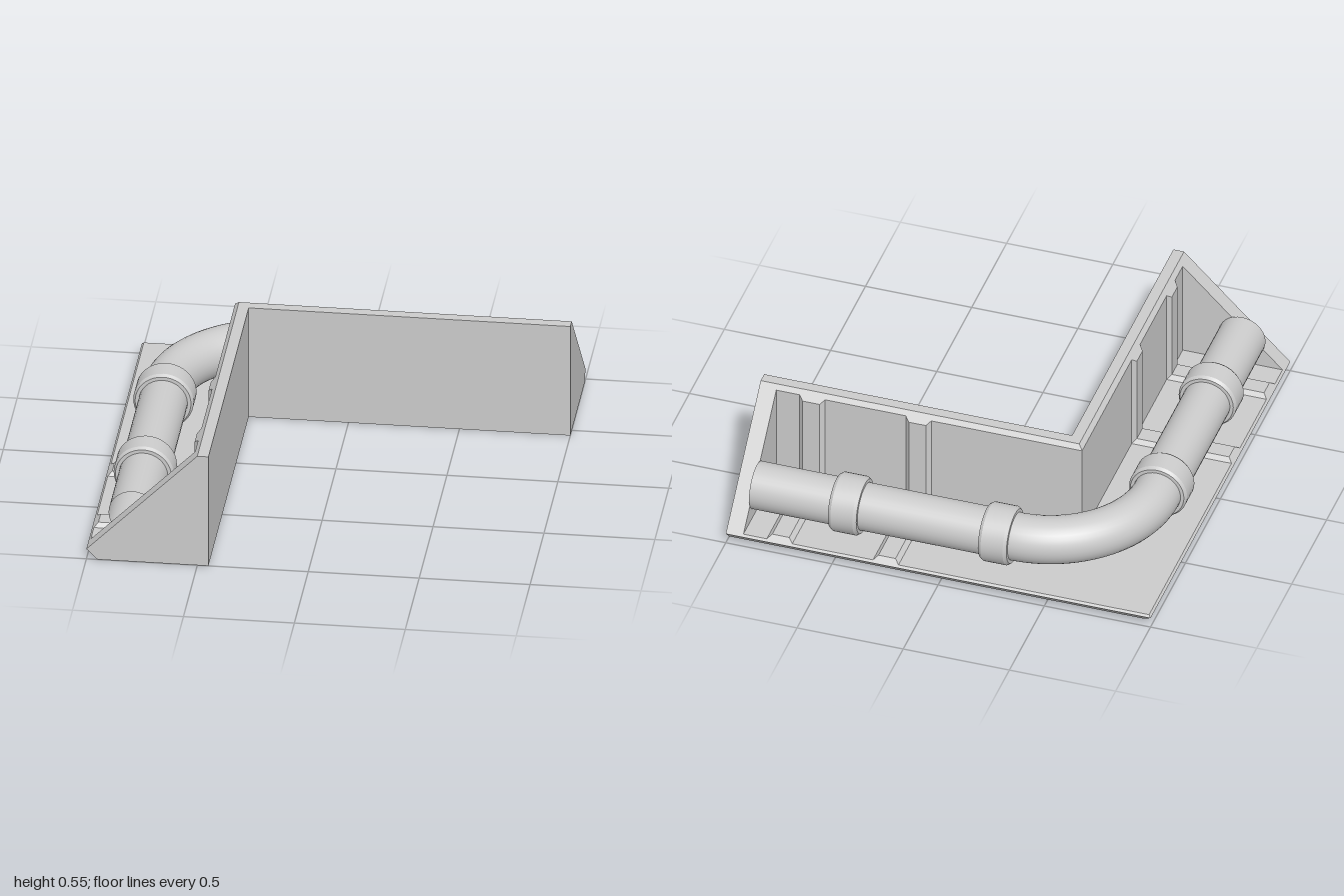
import * as THREE from 'three';
import { toCreasedNormals } from 'three/addons/utils/BufferGeometryUtils.js';

const grey = new THREE.MeshStandardMaterial({ color: 0xcccccc });
const greyDouble = new THREE.MeshStandardMaterial({ color: 0xcccccc, side: THREE.DoubleSide });

function addMesh(parent, name, geometry, material = grey) {
  const mesh = new THREE.Mesh(geometry, material);
  mesh.name = name;
  parent.add(mesh);
  return mesh;
}

// Trough section as (distance from outer edge, height); r thickens it at a rib
const section = (r) => [
  [0.05, 0], [0, 0.05], [0.01 + r, 0.06 + r], [0.48 - r, 0.06 + r],
  [0.48 - r, 0.53 - r], [0.5, 0.55], [0.55, 0.55], [0.55, 0],
];

// L-shaped trough swept along both arms with a mitred corner
function troughGeometry() {
  const stations = [[0.92, 0]];
  for (const c of [0.75, 0.25]) {
    stations.push([c + 0.06, 0], [c + 0.04, 0.018], [c - 0.04, 0.018], [c - 0.06, 0]);
  }
  const armA = stations.map(([t, r]) => section(r).map(([u, y]) => [u - 1, y, t]));
  const corner = section(0).map(([u, y]) => [u - 1, y, u - 1]);
  const armB = armA.map((row) => row.map(([x, y, z]) => [z, y, x])).reverse();
  const rows = [...armA, corner, ...armB];

  const positions = [];
  for (let i = 0; i < rows.length - 1; i++) {
    const n = rows[i].length;
    for (let j = 0; j < n; j++) {
      const k = (j + 1) % n;
      const a = rows[i][j], b = rows[i][k], c = rows[i + 1][k], d = rows[i + 1][j];
      positions.push(...a, ...b, ...c, ...a, ...c, ...d);
    }
  }
  const geometry = new THREE.BufferGeometry();
  geometry.setAttribute('position', new THREE.Float32BufferAttribute(positions, 3));
  geometry.computeVertexNormals();
  return geometry;
}

// Solid plate closing the end of an arm
function endPlateGeometry() {
  const outline = [[0.05, 0], [0.55, 0], [0.55, 0.55], [0.5, 0.55], [0, 0.05]];
  const shape = new THREE.Shape(outline.map(([u, y]) => new THREE.Vector2(u - 1, y)));
  return new THREE.ExtrudeGeometry(shape, { depth: 0.08, bevelEnabled: false });
}

// Pipe collar with chamfered rims, axis along y
function collarGeometry() {
  const profile = [
    [0.11, -0.067], [0.126, -0.067], [0.136, -0.052],
    [0.136, 0.052], [0.126, 0.067], [0.11, 0.067],
  ].map(([r, y]) => new THREE.Vector2(r, y));
  return toCreasedNormals(new THREE.LatheGeometry(profile, 40), 0.4);
}

export function createModel() {
  const model = new THREE.Group();
  model.name = 'cornerPipeTrough';

  addMesh(model, 'trough', troughGeometry());
  addMesh(model, 'endPlateFront', endPlateGeometry()).position.z = 0.92;
  const sidePlate = addMesh(model, 'endPlateSide', endPlateGeometry());
  sidePlate.rotation.y = -Math.PI / 2;
  sidePlate.position.x = 1;

  const pipe = new THREE.Group();
  pipe.name = 'pipe';
  pipe.position.y = 0.2;
  model.add(pipe);

  // Quarter bend around the corner
  const bend = new THREE.TorusGeometry(0.5, 0.11, 32, 32, Math.PI / 2);
  bend.rotateX(-Math.PI / 2).rotateY(Math.PI / 2).translate(-0.3, 0, -0.3);
  addMesh(pipe, 'pipeBend', bend, greyDouble);

  // Open straight runs and their collars, one set per arm
  for (const alongX of [false, true]) {
    const place = (mesh, t) => {
      if (alongX) {
        mesh.rotation.z = -Math.PI / 2;
        mesh.position.set(t, 0, -0.8);
      } else {
        mesh.rotation.x = Math.PI / 2;
        mesh.position.set(-0.8, 0, t);
      }
    };
    const run = new THREE.CylinderGeometry(0.11, 0.11, 1.22, 32, 1, true);
    place(addMesh(pipe, 'pipeRun', run, greyDouble), 0.31);
    for (const t of [-0.23, 0.477]) place(addMesh(pipe, 'pipeCollar', collarGeometry()), t);
  }
  return model;
}
